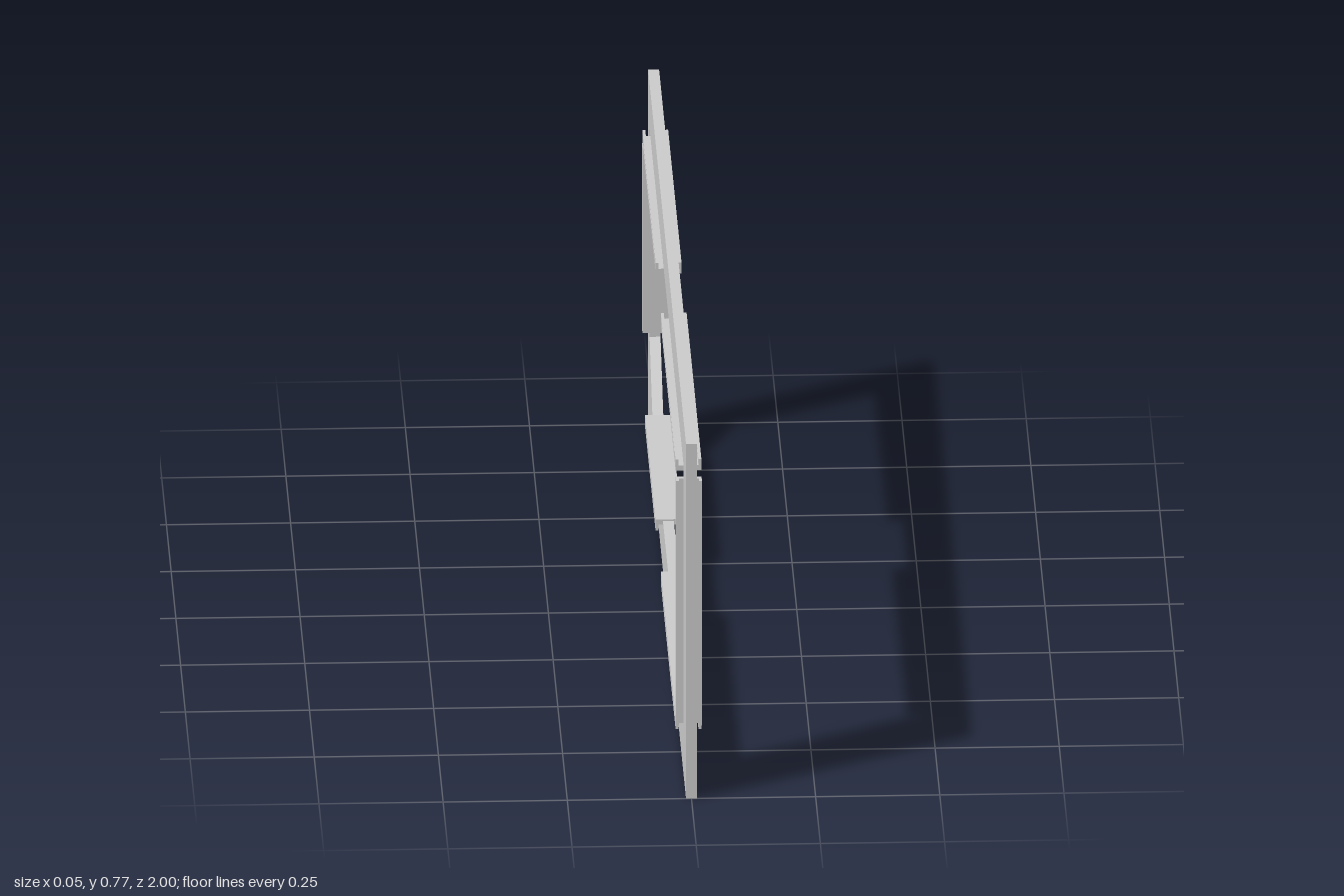
import * as THREE from 'three';

const material = new THREE.MeshStandardMaterial({ color: 0xcccccc, flatShading: true });

function polygon(points, Type = THREE.Shape) {
  return new Type(points.map(([x, y]) => new THREE.Vector2(x, y)));
}

function rect(x0, y0, x1, y1) {
  return [[x0, y0], [x1, y0], [x1, y1], [x0, y1]];
}

// A flat sheet between two depths
function sheet(name, outline, holes, from, to) {
  const shape = polygon(outline);
  shape.holes = holes.map((h) => polygon(h, THREE.Path));
  const geometry = new THREE.ExtrudeGeometry(shape, { depth: to - from, bevelEnabled: false });
  geometry.translate(0, 0, from);
  const mesh = new THREE.Mesh(geometry, material);
  mesh.name = name;
  return mesh;
}

// U-shaped edge strip: a base facing the opening and two slotted lips
function edgeStrip(name, length, x, y, angle) {
  const group = new THREE.Group();
  group.name = name;
  const half = length / 2, depth = 0.024, base = 0.011;
  const web = new THREE.Mesh(new THREE.BoxGeometry(length, base, 0.04), material);
  web.name = 'stripBase';
  web.position.y = -base / 2;
  group.add(web);
  const outline = rect(-half, -depth, half, 0);
  const slot = rect(-half + 0.055, -0.021, half - 0.055, -0.013);
  group.add(sheet('stripLip', outline, [slot], 0.02, 0.026));
  group.add(sheet('stripLip', outline, [slot], -0.026, -0.02));
  group.position.set(x, y, 0);
  group.rotation.z = angle;
  return group;
}

export function createModel() {
  const model = new THREE.Group();
  model.name = 'framePanel';

  // Drawn upright in x and y, then turned so its length runs along z
  const panel = new THREE.Group();
  panel.name = 'panel';
  panel.rotation.y = Math.PI / 2;
  model.add(panel);

  // Frame plate with a chamfered corner in the opening
  const outer = rect(-1, 0, 1, 0.77);
  const opening = [[-0.855, 0.107], [0.775, 0.107], [0.925, 0.22], [0.925, 0.672], [-0.855, 0.672]];
  panel.add(sheet('framePlate', outer, [opening], -0.011, 0.0095));

  // Thin face sheet with shallow slots and an end recess
  const recesses = [rect(-0.955, 0.055, -0.87, 0.715)];
  for (const x of [-0.59, -0.34, -0.07, 0.205, 0.47, 0.76]) {
    recesses.push(rect(x - 0.008, 0.68, x + 0.008, 0.73));
    if (x < 0.7) recesses.push(rect(x - 0.008, 0.045, x + 0.008, 0.085));
  }
  panel.add(sheet('faceSheet', outer, [opening, ...recesses], 0.0095, 0.011));

  // Edge strips: [start, end] along each side of the opening
  for (const [a, b] of [[-0.843, -0.06], [0.207, 0.916]]) {
    panel.add(edgeStrip('topStrip', b - a, (a + b) / 2, 0.649, Math.PI));
  }
  for (const [a, b] of [[-0.843, -0.06], [0.218, 0.775]]) {
    panel.add(edgeStrip('bottomStrip', b - a, (a + b) / 2, 0.111, 0));
  }
  panel.add(edgeStrip('frontStrip', 0.531, -0.849, 0.3725, -Math.PI / 2));
  panel.add(edgeStrip('backStrip', 0.403, 0.908, 0.4365, Math.PI / 2));

  return model;
}
